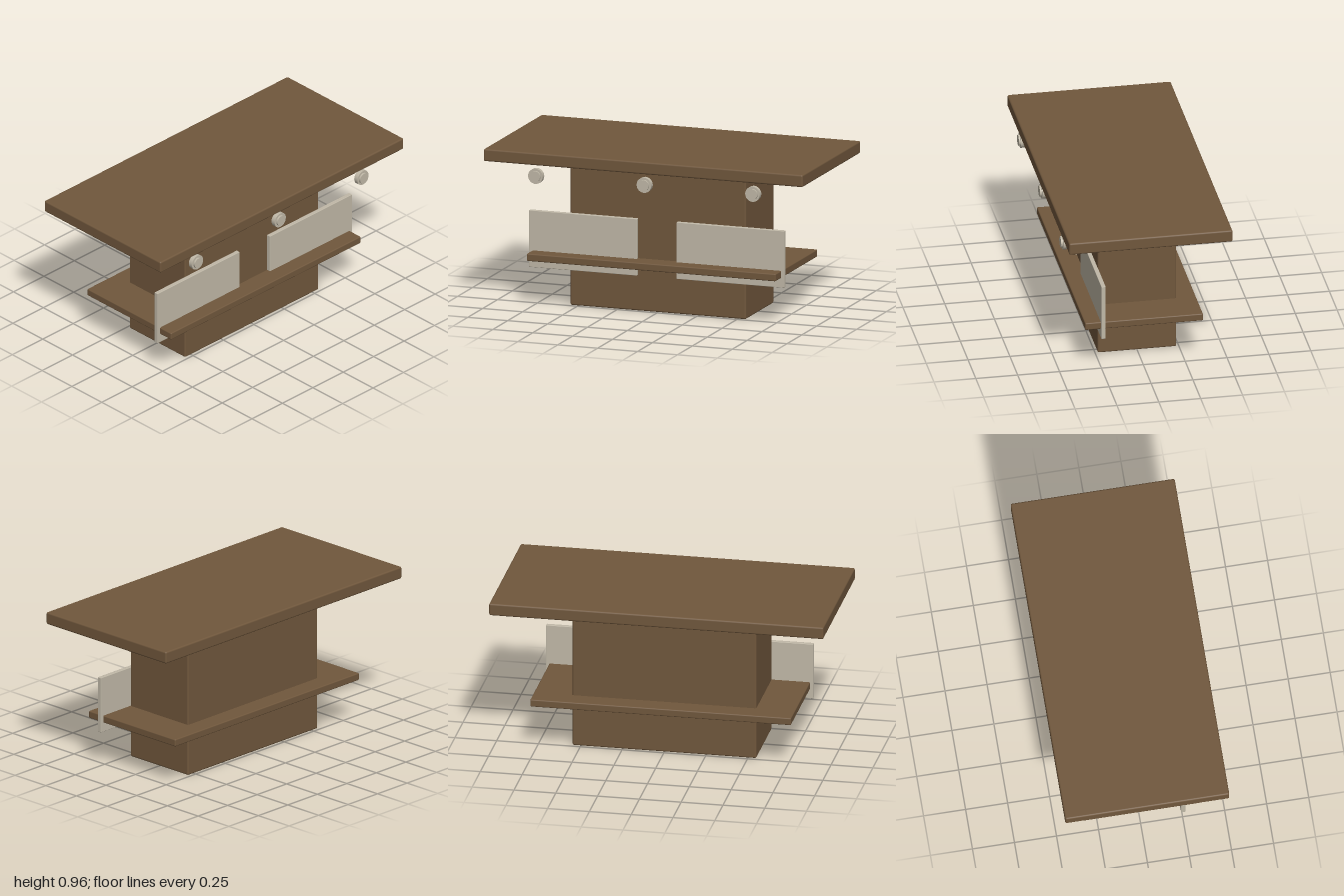
import * as THREE from 'three';
import { RoundedBoxGeometry } from 'three/addons/geometries/RoundedBoxGeometry.js';

export function createModel() {
  const model = new THREE.Group();
  model.name = 'pedestalTable';

  const wood = new THREE.MeshStandardMaterial({ color: 0x70573c });
  wood.name = 'brown wood';
  const pale = new THREE.MeshStandardMaterial({ color: 0xc0b8a7 });
  pale.name = 'pale grey';

  // Softly bevelled box given by its centre and size
  function box(name, material, [x, y, z], [w, h, d], bevel) {
    const mesh = new THREE.Mesh(new RoundedBoxGeometry(w, h, d, 2, bevel), material);
    mesh.position.set(x, y, z);
    mesh.name = name;
    model.add(mesh);
  }

  // Table top, central body and the shelf that passes through it
  box('tableTop', wood, [0, 0.921, 0], [2, 0.074, 0.976], 0.01);
  box('body', wood, [0, 0.442, 0], [1.1, 0.884, 0.47], 0.01);
  box('shelf', wood, [0, 0.294, 0], [1.56, 0.045, 0.704], 0.007);

  // Pair of front panels
  for (const side of [1, -1]) {
    box(side > 0 ? 'leftPanel' : 'rightPanel', pale,
      [side * 0.462, 0.386, 0.246], [0.676, 0.342, 0.026], 0.003);
  }

  // Stepped knobs: wide disc with a smaller cap in front
  const disc = new THREE.CylinderGeometry(0.046, 0.046, 0.027, 24).rotateX(Math.PI / 2);
  const cap = new THREE.CylinderGeometry(0.033, 0.033, 0.012, 24).rotateX(Math.PI / 2);
  for (const x of [-0.68, 0, 0.68]) {
    const knob = new THREE.Group();
    knob.name = 'knob';
    const base = new THREE.Mesh(disc, pale);
    base.name = 'knobDisc';
    base.position.z = 0.4585;
    const front = new THREE.Mesh(cap, pale);
    front.name = 'knobCap';
    front.position.z = 0.477;
    knob.add(base, front);
    knob.position.set(x, 0.815, 0);
    model.add(knob);
  }

  return model;
}
